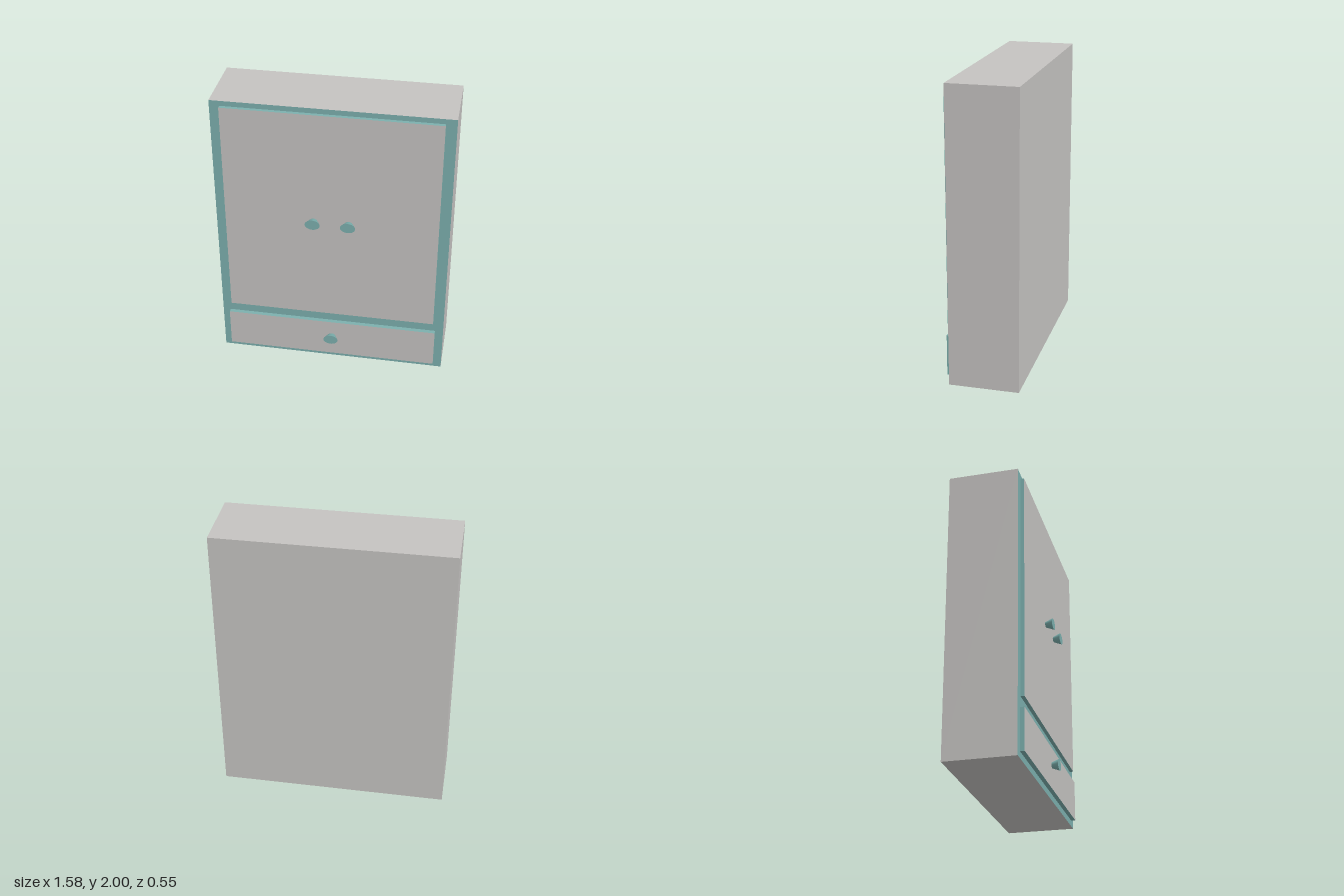
import * as THREE from 'three';

export function createModel() {
  const group = new THREE.Group();
  group.name = 'cabinet';
  const grey = new THREE.MeshStandardMaterial({ name: 'warm grey', color: 0xc5c3c1 });
  const teal = new THREE.MeshStandardMaterial({ name: 'teal', color: 0x7cb0ae });

  // Box between two corners, with separate colours for its sides and front
  function box(name, [x0, x1], [y0, y1], [z0, z1], side, front) {
    const mesh = new THREE.Mesh(
      new THREE.BoxGeometry(x1 - x0, y1 - y0, z1 - z0),
      [side, side, side, side, front, side]
    );
    mesh.name = name;
    mesh.position.set((x0 + x1) / 2, (y0 + y1) / 2, (z0 + z1) / 2);
    group.add(mesh);
  }

  // Carcass, with a painted front
  box('body', [-0.788, 0.788], [0, 2], [-0.274, 0.196], grey, teal);

  // Raised panels with painted edges
  box('doorPanel', [-0.72, 0.717], [0.4, 1.965], [0.196, 0.221], teal, grey);
  box('drawerFront', [-0.736, 0.732], [0.043, 0.323], [0.196, 0.225], teal, grey);

  // Oval knobs flaring towards the front
  const knobGeometry = new THREE.CylinderGeometry(0.051, 0.024, 0.054, 32);
  knobGeometry.rotateX(Math.PI / 2);
  knobGeometry.scale(1, 0.71, 1);
  for (const [name, x, y] of [
    ['rightDoorKnob', -0.117, 1.172],
    ['leftDoorKnob', 0.12, 1.172],
    ['drawerKnob', 0.003, 0.203],
  ]) {
    const knob = new THREE.Mesh(knobGeometry, teal);
    knob.name = name;
    knob.position.set(x, y, 0.247);
    group.add(knob);
  }
  return group;
}
